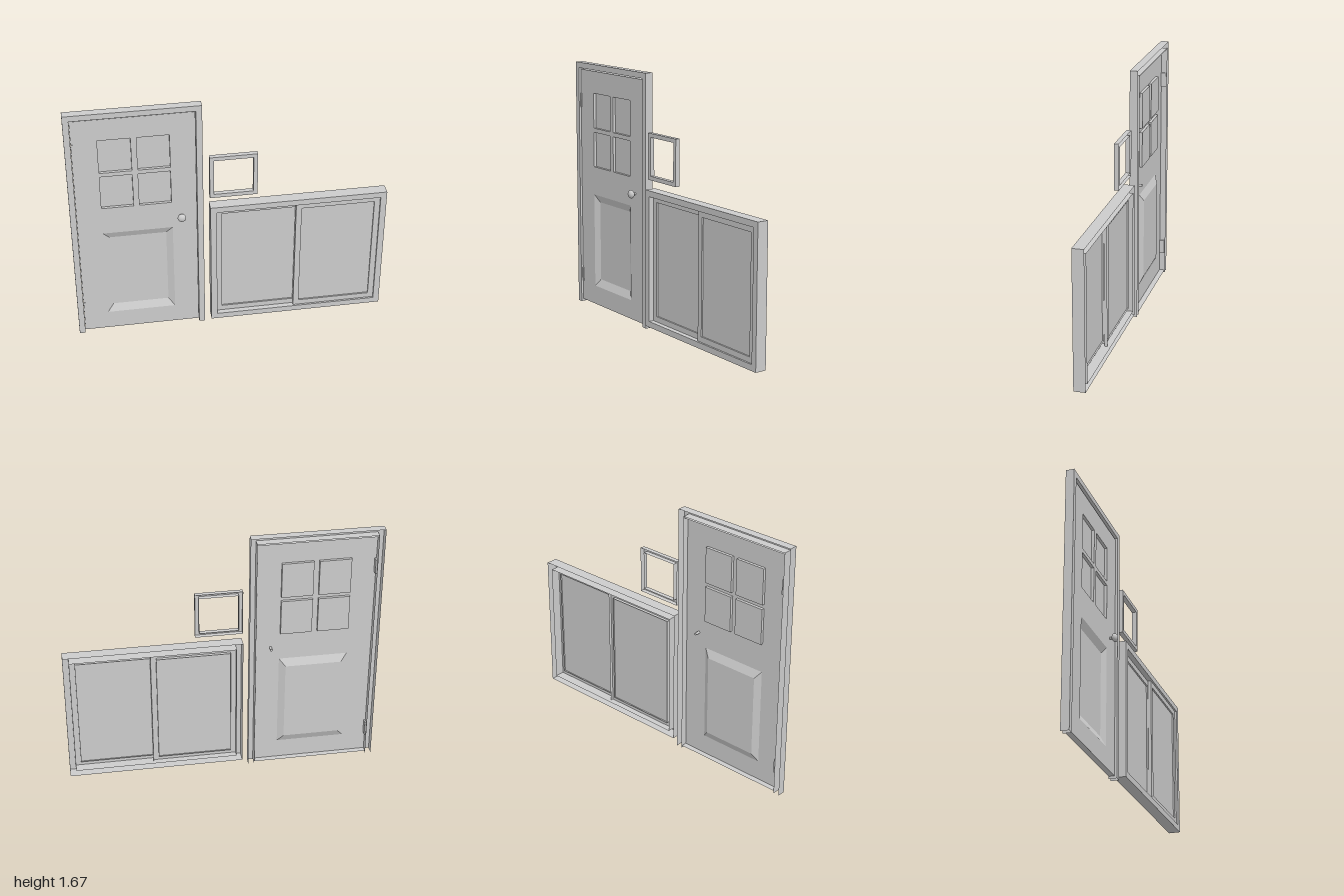
import * as THREE from 'three';
import { mergeGeometries } from 'three/addons/utils/BufferGeometryUtils.js';

const mat = new THREE.MeshStandardMaterial({ color: 0xcccccc, side: THREE.DoubleSide, flatShading: true });
const smooth = new THREE.MeshStandardMaterial({ color: 0xcccccc });

// Corners of a rectangle, counter-clockwise
const rect = (x0, x1, y0, y1) => [[x0, y0], [x1, y0], [x1, y1], [x0, y1]];
const toVectors = (pts) => pts.map(([x, y]) => new THREE.Vector2(x, y));

// Flat sheet facing +z, with holes
function sheet(outline, holes, z) {
  const shape = new THREE.Shape(toVectors(outline));
  for (const h of holes) shape.holes.push(new THREE.Path(toVectors(h)));
  return new THREE.ShapeGeometry(shape).translate(0, 0, z).toNonIndexed();
}

// Strip of quads between outline a at za and outline b at zb
function strip(a, za, b, zb, closed = true) {
  const pos = [], n = a.length;
  for (let i = 0; i < (closed ? n : n - 1); i++) {
    const j = (i + 1) % n;
    const p = [...a[i], za], q = [...a[j], za], r = [...b[j], zb], s = [...b[i], zb];
    pos.push(...p, ...s, ...r, ...p, ...r, ...q);
  }
  const g = new THREE.BufferGeometry();
  g.setAttribute('position', new THREE.Float32BufferAttribute(pos, 3));
  g.computeVertexNormals();
  return g;
}

function part(name, geometries, material = mat) {
  geometries.forEach((g) => g.deleteAttribute('uv'));
  const mesh = new THREE.Mesh(mergeGeometries(geometries), material);
  mesh.name = name;
  return mesh;
}

// Rectangular frame, hollow and open at the back
function hollowFrame(name, [x0, x1, y0, y1], border, front, back) {
  const outer = rect(x0, x1, y0, y1);
  const inner = rect(x0 + border, x1 - border, y0 + border, y1 - border);
  return part(name, [
    sheet(outer, [inner], front),
    strip(outer, front, outer, back),
    strip(inner, front, inner, back),
  ]);
}

function buildDoor() {
  const door = new THREE.Group();
  door.name = 'door';

  // Door casing: jambs and head, open at the back and the bottom
  const outer = [[-1, 0], [-1, 1.67], [-0.17, 1.67], [-0.17, 0]];
  const inner = [[-0.208, 0], [-0.208, 1.633], [-0.962, 1.633], [-0.962, 0]];
  door.add(part('doorCasing', [
    sheet([...outer, ...inner], [], 0.008),
    strip(outer, 0.008, outer, -0.045, false),
    strip(inner, 0.008, inner, -0.045, false),
  ]));

  // Door leaf: pressed sheet with four sunken lights and a bevelled panel
  const zf = -0.006, zPane = -0.024, zPanel = -0.028;
  const edge = rect(-0.96, -0.21, 0.016, 1.623);
  const lights = [];
  for (const [x0, x1] of [[-0.803, -0.603], [-0.567, -0.368]])
    for (const [y0, y1] of [[0.977, 1.212], [1.24, 1.475]]) lights.push(rect(x0, x1, y0, y1));
  const panel = rect(-0.805, -0.365, 0.145, 0.785);
  const panelFloor = rect(-0.765, -0.405, 0.195, 0.735);
  door.add(part('doorLeaf', [
    sheet(edge, [...lights, panel], zf),
    strip(edge, zf, edge, -0.042),
  ]));
  door.add(part('doorLights', lights.flatMap((l) => [strip(l, zf, l, zPane), sheet(l, [], zPane)])));
  door.add(part('doorPanel', [strip(panel, zf, panelFloor, zPanel), sheet(panelFloor, [], zPanel)]));

  // Hinges
  for (const y of [0.197, 1.415]) {
    const hinge = new THREE.Mesh(new THREE.BoxGeometry(0.01, 0.095, 0.04), mat);
    hinge.name = 'hinge';
    hinge.position.set(-0.954, y, -0.02);
    door.add(hinge);
  }

  // Knob with a spindle through the leaf
  const knob = new THREE.Mesh(new THREE.SphereGeometry(0.027, 24, 16), smooth);
  knob.name = 'knob';
  knob.scale.z = 0.7;
  knob.position.set(-0.309, 0.874, 0.027);
  const spindle = new THREE.Mesh(new THREE.CylinderGeometry(0.008, 0.008, 0.062, 12).rotateX(Math.PI / 2), smooth);
  spindle.name = 'knobSpindle';
  spindle.position.set(-0.309, 0.874, -0.009);
  door.add(knob, spindle);
  return door;
}

// Sliding sash: hollow border with a set-back pane
function buildSash(name, box, front, back) {
  const sash = new THREE.Group();
  sash.name = name;
  const b = 0.036, [x0, x1, y0, y1] = box;
  const pane = part('pane', [sheet(rect(x0 + b, x1 - b, y0 + b, y1 - b), [], (front + back) / 2)]);
  sash.add(hollowFrame('sashFrame', box, b, front, back), pane);
  return sash;
}

function buildSlidingWindow() {
  const win = new THREE.Group();
  win.name = 'slidingWindow';
  win.add(
    hollowFrame('windowFrame', [-0.13, 1, 0.035, 0.935], 0.039, 0.038, -0.037),
    buildSash('rearSash', [-0.091, 0.454, 0.074, 0.896], 0.004, -0.016),
    buildSash('frontSash', [0.418, 0.961, 0.074, 0.896], 0.026, 0.006),
  );
  return win;
}

export function createModel() {
  const model = new THREE.Group();
  model.name = 'doorAndWindows';
  model.add(
    buildDoor(),
    buildSlidingWindow(),
    hollowFrame('smallWindowFrame', [-0.13, 0.17, 0.998, 1.298], 0.026, 0.017, -0.013),
  );
  return model;
}
